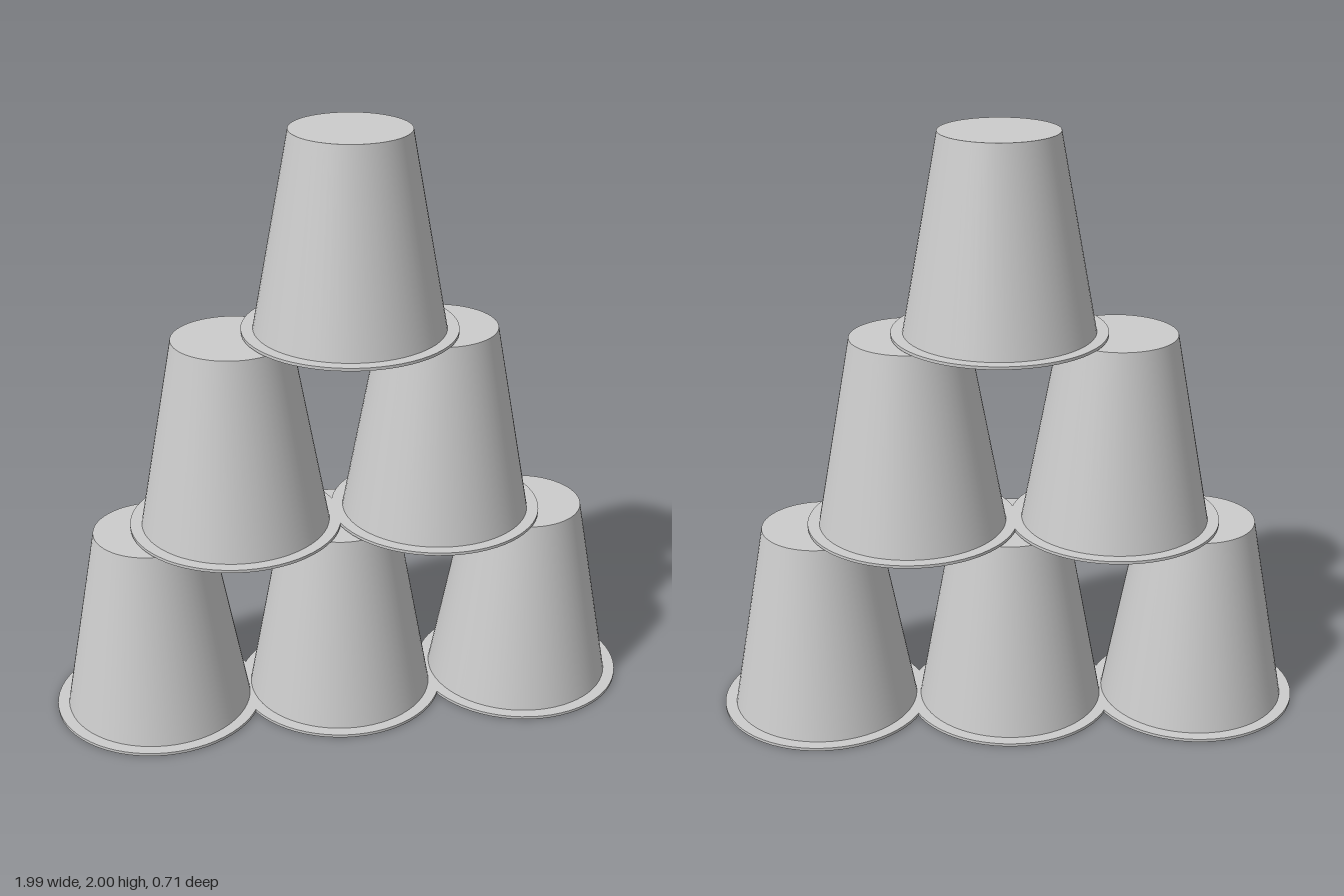
import * as THREE from 'three';
import { toCreasedNormals } from 'three/addons/utils/BufferGeometryUtils.js';

// Thin-walled upside-down cup: inside, flat rim, then outside up to the closed base
function cupGeometry() {
  const profile = [
    [0, 0.652], [0.19, 0.652], [0.31, 0],
    [0.354, 0], [0.354, 0.01], [0.315, 0.01],
    [0.195, 0.662], [0, 0.662],
  ].map(([r, y]) => new THREE.Vector2(r, y));
  return toCreasedNormals(new THREE.LatheGeometry(profile, 64), 0.6);
}

export function createModel() {
  const group = new THREE.Group();
  group.name = 'cupPyramid';
  const material = new THREE.MeshStandardMaterial({ color: 0xcccccc, side: THREE.DoubleSide });
  const geometry = cupGeometry();

  // Cup centres along x, row by row from the bottom
  const rows = [
    { name: 'bottomCup', y: 0, xs: [-0.642, -0.004, 0.64] },
    { name: 'middleCup', y: 0.67, xs: [-0.358, 0.325] },
    { name: 'topCup', y: 1.338, xs: [0.03] },
  ];
  for (const { name, y, xs } of rows) {
    xs.forEach((x, i) => {
      const cup = new THREE.Mesh(geometry, material);
      cup.name = xs.length > 1 ? `${name}${i + 1}` : name;
      cup.position.set(x, y, 0);
      group.add(cup);
    });
  }
  return group;
}
